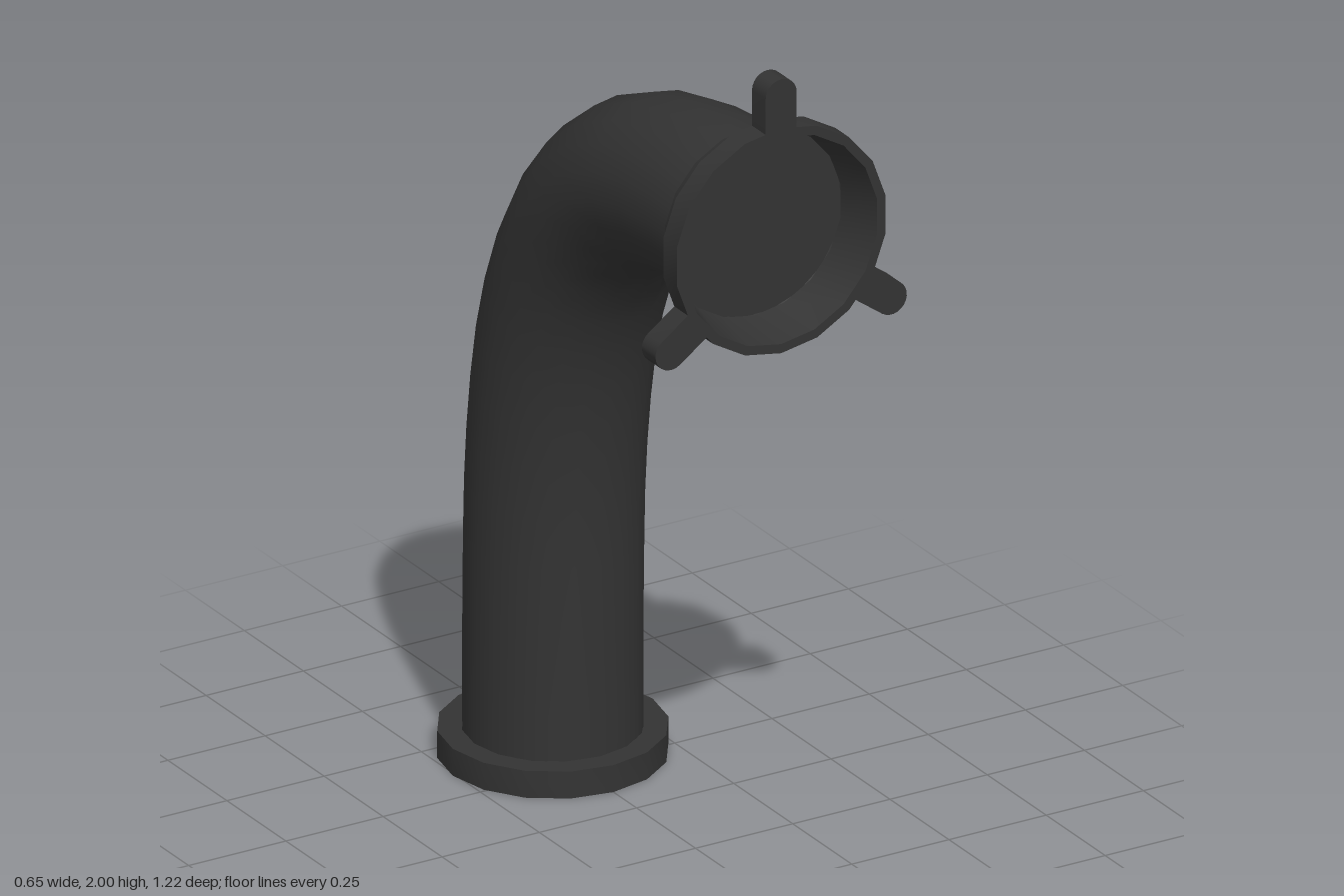
import * as THREE from 'three';
import { toCreasedNormals } from 'three/addons/utils/BufferGeometryUtils.js';

export function createModel() {
  const group = new THREE.Group();
  const material = new THREE.MeshStandardMaterial({ color: 0x333333, side: THREE.DoubleSide });
  const mouthY = 1.61, baseZ = -0.355;

  const add = (name, geometry, x = 0, y = 0, z = 0, parent = group) => {
    const mesh = new THREE.Mesh(geometry, material);
    mesh.name = name;
    mesh.position.set(x, y, z);
    parent.add(mesh);
    return mesh;
  };
  const ring = (profile, sides) => toCreasedNormals(
    new THREE.LatheGeometry(profile.map(([r, h]) => new THREE.Vector2(r, h)), sides), 0.6);

  // Bent pipe: centre line as [y, z], from the base up and over to the mouth
  const path = [
    [0.04, -0.355], [0.25, -0.355], [0.49, -0.352], [0.685, -0.345], [0.875, -0.325],
    [1.055, -0.29], [1.225, -0.23], [1.355, -0.155], [1.465, -0.055], [1.545, 0.07],
    [1.59, 0.22], [1.61, 0.38], [1.61, 0.495],
  ].map(([y, z]) => new THREE.Vector3(0, y, z));
  add('bentPipe', new THREE.TubeGeometry(new THREE.CatmullRomCurve3(path), 17, 0.2, 20));

  // Hollow base collar
  add('baseCollar', ring(
    [[0.235, 0], [0.257, 0], [0.257, 0.065], [0.202, 0.065], [0.235, 0.06], [0.235, 0]], 16),
  0, 0, baseZ);

  // Coupling at the mouth: flared cup, closing disc and three lugs
  const coupling = new THREE.Group();
  coupling.name = 'coupling';
  coupling.position.y = mouthY;
  group.add(coupling);
  const cup = add('couplingCup', ring([
    [0.2, 0.49], [0.228, 0.49], [0.253, 0.555], [0.272, 0.555], [0.272, 0.613],
    [0.25, 0.613], [0.225, 0.5],
  ], 18), 0, 0, 0, coupling);
  cup.rotation.x = Math.PI / 2;
  add('mouthDisc', new THREE.CircleGeometry(0.226, 18), 0, 0, 0.498, coupling);

  // Rounded lug outline pointing outwards along +y
  const lug = new THREE.Shape();
  lug.moveTo(-0.04, 0.258);
  lug.lineTo(0.04, 0.258);
  lug.lineTo(0.04, 0.35);
  lug.absarc(0, 0.35, 0.04, 0, Math.PI, false);
  lug.closePath();
  const lugGeometry = toCreasedNormals(
    new THREE.ExtrudeGeometry(lug, { depth: 0.058, bevelEnabled: false, curveSegments: 6 }), 0.7);
  for (const angle of [0, 126, -126]) {
    const mesh = add('couplingLug', lugGeometry, 0, 0, 0.555, coupling);
    mesh.rotation.z = THREE.MathUtils.degToRad(angle);
  }
  return group;
}
